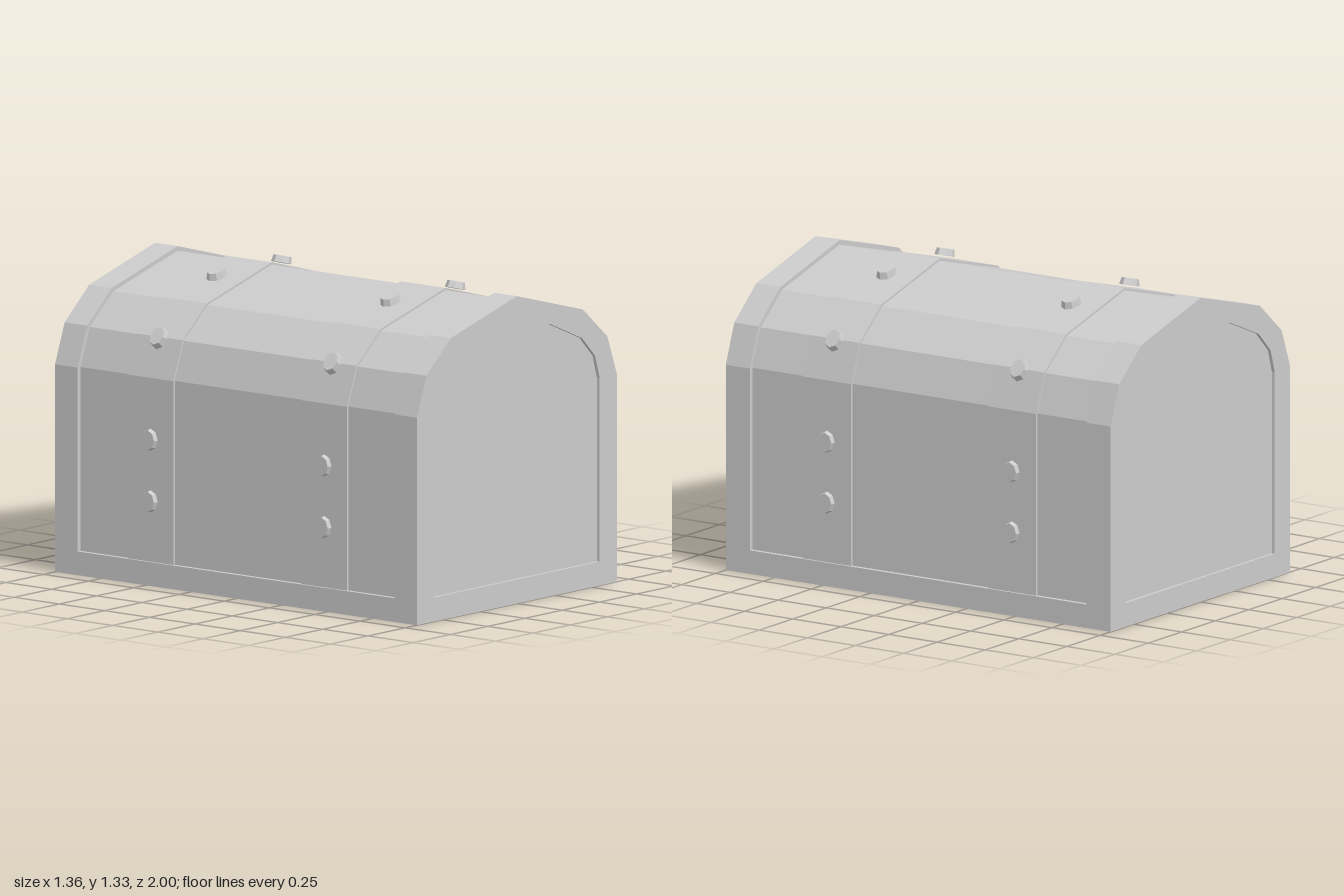
import * as THREE from 'three';

const material = new THREE.MeshStandardMaterial({ color: 0xcccccc, flatShading: true });

// Right half of the chest's cross-section above the floor, from the side wall to the ridge
const ARCH = [[0.671, 0.9], [0.607, 1.073], [0.443, 1.213], [0, 1.333]];
const PANEL = [[0.555, 0.9], [0.525, 1.0], [0.436, 1.09], [0.22, 1.182], [0, 1.212]];

// Mirrors a half arch and closes it along a flat bottom
function mirrored(half, bottom) {
  const right = [[half[0][0], bottom], ...half];
  const left = right.slice(0, -1).reverse().map(([x, y]) => [-x, y]);
  return [...right, ...left].map(([x, y]) => new THREE.Vector2(x, y));
}

// Arch drawn in by d on the walls and ridge
function inset(d) {
  return ARCH.map(([x, y]) => [x * (1 - d / 0.671), 0.9 + (y - 0.9) * (1 - d / 0.433)]);
}

function extrude(name, shape, zMin, zMax) {
  const geo = new THREE.ExtrudeGeometry(shape, { depth: zMax - zMin, bevelEnabled: false });
  geo.translate(0, 0, zMin);
  const mesh = new THREE.Mesh(geo, material);
  mesh.name = name;
  return mesh;
}

export function createModel() {
  const chest = new THREE.Group();
  chest.name = 'chest';

  // Planked body and lid, slightly sunk behind all the trim
  chest.add(extrude('body', new THREE.Shape(mirrored(inset(0.02), 0.02)), -0.985, 0.985));

  // Plinth running between the end frames
  const base = new THREE.Mesh(new THREE.BoxGeometry(1.342, 0.103, 1.75), material);
  base.name = 'base';
  base.position.y = 0.0515;
  chest.add(base);

  // Arched frames around both end panels
  for (const [name, z] of [['frontFrame', 0.875], ['backFrame', -1]]) {
    const frame = new THREE.Shape(mirrored(ARCH, 0));
    frame.holes.push(new THREE.Path(mirrored(PANEL, 0.104)));
    chest.add(extrude(name, frame, z, z + 0.125));
  }

  // Straps over the lid, each with a row of studs
  const studGeo = new THREE.CylinderGeometry(0.043, 0.05, 0.03, 8);
  studGeo.scale(1, 1, 0.82);
  const studs = [[0.667, 0.365, 0], [0.667, 0.632, 0], [0.608, 1.068, 0.62], [0.22, 1.291, 1.31]];
  for (const [label, z] of [['front', 0.48], ['back', -0.48]]) {
    const strap = new THREE.Group();
    strap.name = label + 'Strap';
    strap.add(extrude('strapBand', new THREE.Shape(mirrored(inset(0.01), 0.08)), z - 0.125, z + 0.125));
    for (const side of [1, -1]) {
      for (const [x, y, angle] of studs) {
        const stud = new THREE.Mesh(studGeo, material);
        stud.name = side > 0 ? 'leftStud' : 'rightStud';
        stud.position.set(side * x, y, z);
        stud.rotation.z = side * (angle - Math.PI / 2);
        strap.add(stud);
      }
    }
    chest.add(strap);
  }
  return chest;
}
